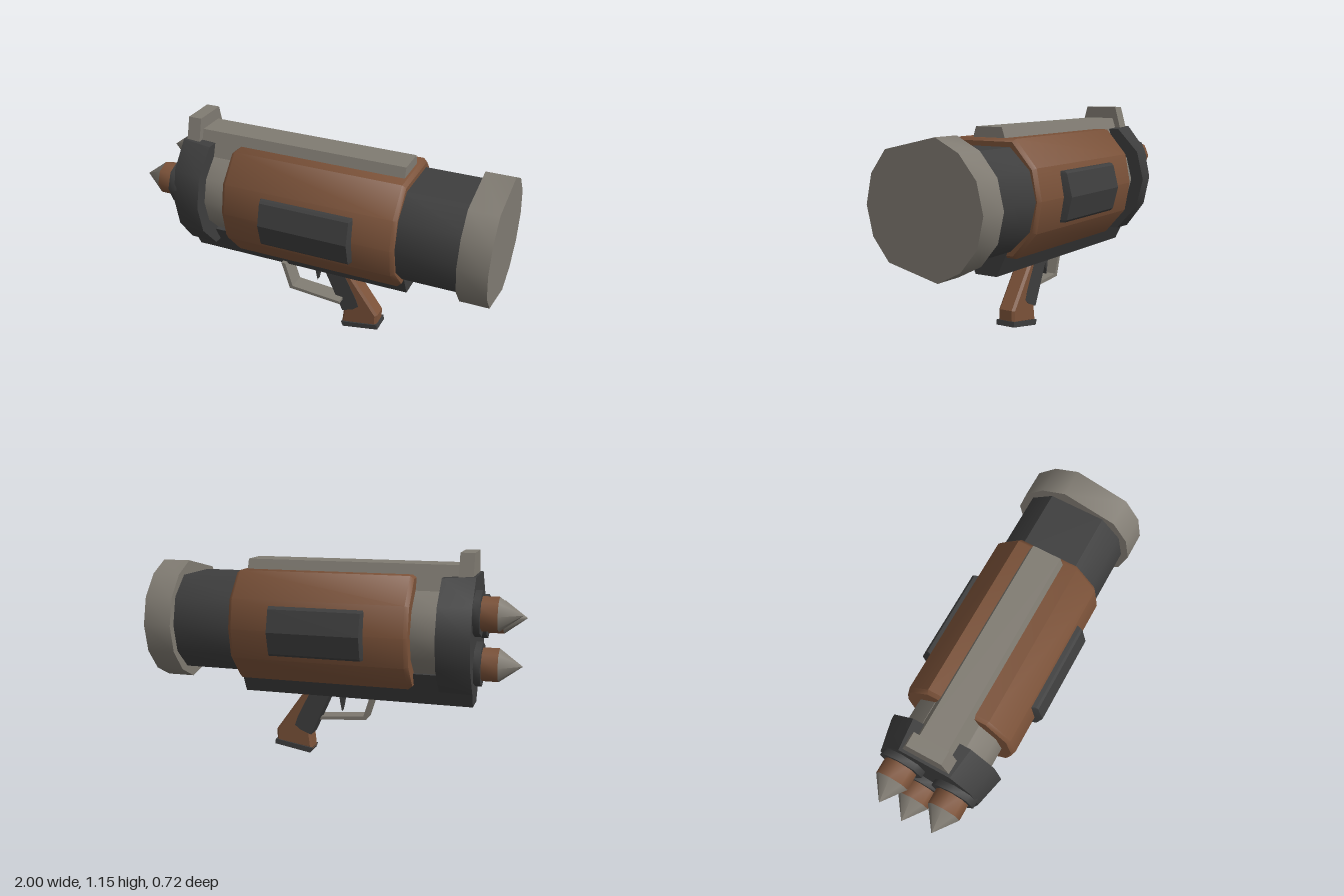
import * as THREE from 'three';
import { toCreasedNormals } from 'three/addons/utils/BufferGeometryUtils.js';

const AXIS = 0.735; // height of the tube axis

export function createModel() {
  const root = new THREE.Group();
  root.name = 'shoulderLauncher';
  const mat = (name, color) => {
    const m = new THREE.MeshStandardMaterial({ color });
    m.name = name;
    return m;
  };
  const brown = mat('brown', 0x7b5239);
  const gray = mat('warmGray', 0x807b72);
  const dark = mat('darkGray', 0x3e3e3e);

  const add = (name, geo, material, parent = root) => {
    const mesh = new THREE.Mesh(geo, material);
    mesh.name = name;
    parent.add(mesh);
    return mesh;
  };

  // Sweep a [y, z] ring along x; each section is [x, yScale, zScale]
  const loft = (ring, sections, crease = 0.7) => {
    const rows = sections.map(([x, sy = 1, sz = sy]) => ring.map(([y, z]) => [x, y * sy, z * sz]));
    const pos = [];
    const tri = (...pts) => pts.forEach((p) => pos.push(...p));
    const mid = (row) => [0, 1, 2].map((k) => row.reduce((s, p) => s + p[k], 0) / row.length);
    const first = rows[0], last = rows[rows.length - 1], n = ring.length;
    for (let i = 0; i < n; i++) {
      const j = (i + 1) % n;
      for (let r = 0; r + 1 < rows.length; r++) {
        const a = rows[r], b = rows[r + 1];
        tri(a[i], a[j], b[j]);
        tri(a[i], b[j], b[i]);
      }
      tri(mid(first), first[j], first[i]);
      tri(mid(last), last[i], last[j]);
    }
    const geo = new THREE.BufferGeometry();
    geo.setAttribute('position', new THREE.Float32BufferAttribute(pos, 3));
    return toCreasedNormals(geo, crease);
  };
  const mirror = (half) => half.concat(half.slice().reverse().map(([y, z]) => [y, -z]));
  const shell = (name, ring, sections, material) => {
    add(name, loft(ring, sections), material).position.y = AXIS;
  };

  // Tube sections, front to back
  const collarRing = mirror([[0.29, 0.16], [0.16, 0.285], [0, 0.325], [-0.16, 0.285], [-0.3, 0.16]]);
  shell('muzzleCollar', collarRing, [[-0.76, 1.03, 0.88], [-0.59]], dark);
  shell('innerTube', mirror([[0.217, 0.125], [0.125, 0.217], [0, 0.25], [-0.125, 0.217], [-0.217, 0.125]]),
    [[-0.62], [-0.4]], gray);
  const bodyRing = mirror([[0.297, 0.17], [0.16, 0.29], [0, 0.32], [-0.16, 0.29], [-0.295, 0.17]]);
  shell('body', bodyRing, [[-0.45, 0.95], [-0.43], [0.5], [0.52, 0.95]], brown);
  shell('rearTube', mirror([[0.257, 0.15], [0.15, 0.262], [0, 0.298], [-0.15, 0.262], [-0.257, 0.15]]),
    [[0.48], [0.87]], dark);
  shell('rearCap', [
    [0.265, 0.215], [0.15, 0.305], [0, 0.34], [-0.15, 0.305], [-0.265, 0.21], [-0.33, -0.08],
    [-0.265, -0.21], [-0.15, -0.305], [0, -0.34], [0.15, -0.305], [0.265, -0.21], [0.33, -0.08],
  ], [[0.845], [1]], gray);

  // Bar below, rail and sight above
  add('lowerBar', loft(mirror([[0.52, 0.155], [0.34, 0.065]]), [[-0.755], [0.522]]), dark);
  add('topRail', loft(mirror([[1.085, 0.078], [0.93, 0.13]]), [[-0.68], [0.487]]), gray);
  add('frontSight', loft(mirror([[1.15, 0.095], [1.0, 0.137]]), [[-0.745], [-0.67]]), gray);

  // Side panels, following the body's ridge
  const panelRing = [[0.13, 0.26], [0.13, 0.318], [0.118, 0.33], [0, 0.36], [-0.118, 0.33], [-0.13, 0.318], [-0.13, 0.26]];
  for (const side of [1, -1]) {
    const panel = add(side > 0 ? 'frontPanel' : 'backPanel',
      loft(panelRing, [[-0.226, 1, 0.86], [-0.21], [0.285], [0.3, 1, 0.86]], 0.2), dark);
    panel.position.y = AXIS;
    panel.rotation.x = side > 0 ? 0 : Math.PI;
  }

  // Three rockets in their sockets
  const round = (r0, r1, len) => toCreasedNormals(
    new THREE.CylinderGeometry(r0, r1, len, 8).rotateZ(Math.PI / 2), 0.9);
  const socketGeo = round(0.12, 0.12, 0.05);
  const shaftGeo = round(0.09, 0.09, 0.13);
  const tipGeo = round(0, 0.09, 0.12);
  for (const [y, z] of [[0.85, -0.13], [0.79, 0.16], [0.57, -0.04]]) {
    const rocket = new THREE.Group();
    rocket.name = 'rocket';
    rocket.position.set(0, y, z);
    add('socket', socketGeo, dark, rocket).position.x = -0.77;
    add('shaft', shaftGeo, brown, rocket).position.x = -0.815;
    add('tip', tipGeo, gray, rocket).position.x = -0.94;
    root.add(rocket);
  }

  // Flat outlines extruded across z, centred at zMid
  const slab = (pts, width, zMid = 0, bevel = 0) => {
    const shape = new THREE.Shape(pts.map(([x, y]) => new THREE.Vector2(x, y)));
    const depth = width - 2 * bevel;
    return new THREE.ExtrudeGeometry(shape, {
      depth, bevelEnabled: bevel > 0, bevelSize: bevel, bevelOffset: -bevel, bevelThickness: bevel, bevelSegments: 1,
    }).translate(0, 0, zMid - depth / 2);
  };

  // Pistol grip with dark inlay and foot
  add('grip', slab([[0.04, 0.36], [0.15, 0.11], [0.14, 0.02], [0.35, 0.05], [0.352, 0.12], [0.18, 0.36]], 0.1, 0, 0.013), brown);
  add('gripInlay', slab([[0.03, 0.36], [0.145, 0.105], [0.21, 0.13], [0.24, 0.155], [0.225, 0.2], [0.145, 0.36]], 0.104), dark);
  add('gripFoot', slab([[0.14, 0.028], [0.15, 0], [0.36, 0.036], [0.355, 0.064]], 0.112), dark);

  // Trigger and its guard
  add('trigger', slab([[-0.045, 0.36], [-0.035, 0.29], [-0.025, 0.245], [-0.015, 0.29], [-0.005, 0.36]], 0.03), dark);
  add('triggerGuard', slab([
    [-0.21, 0.36], [-0.16, 0.203], [0.145, 0.178], [0.145, 0.195], [-0.143, 0.22], [-0.187, 0.36],
  ], 0.1, 0.05), gray);

  return root;
}
